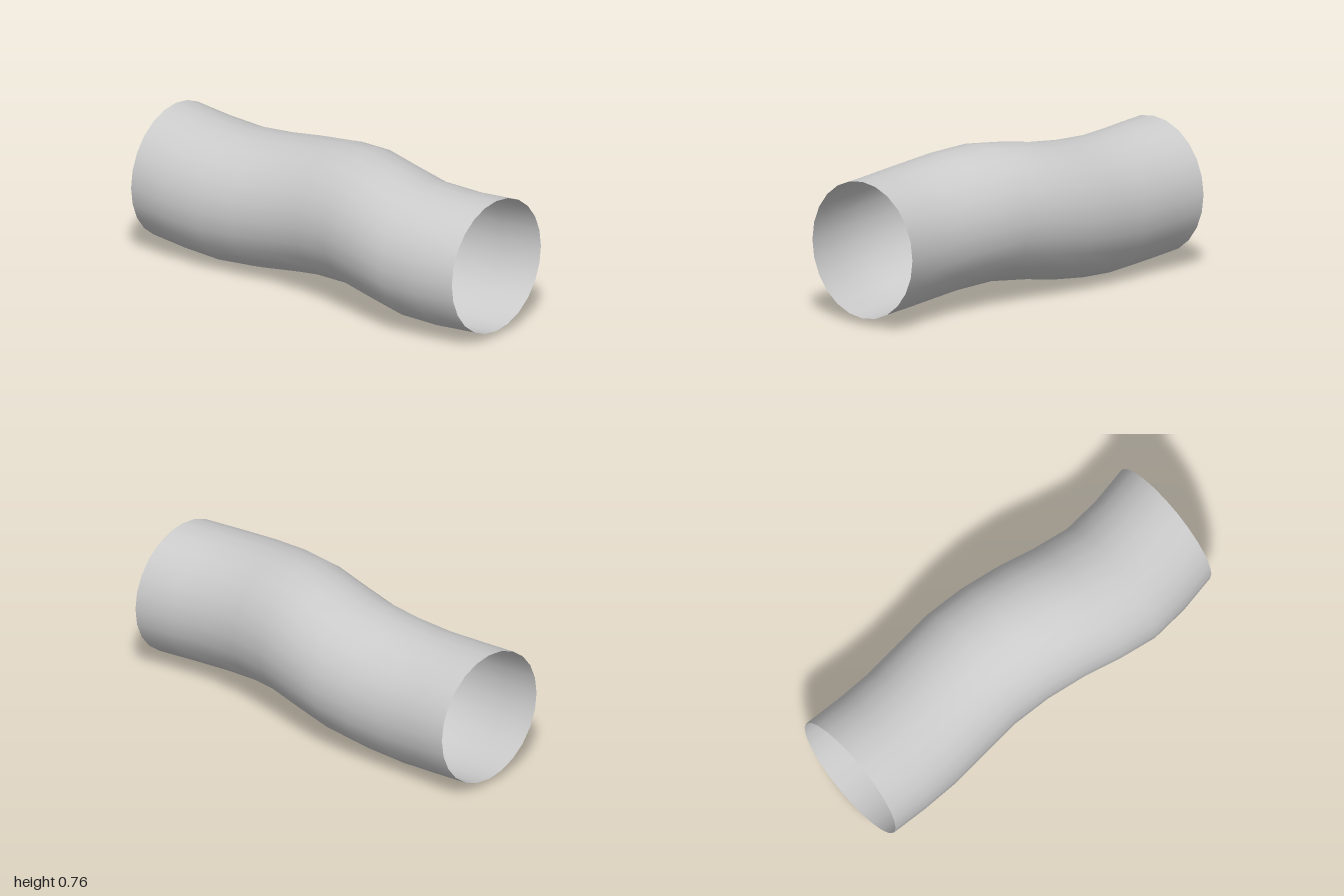
import * as THREE from 'three';
import { mergeVertices } from 'three/addons/utils/BufferGeometryUtils.js';

const RADIUS = 0.337;
// Centre of each ring, evenly spaced along x from -1 to 1
const CENTRE_Y = [0.371, 0.352, 0.34, 0.352, 0.377, 0.408, 0.426, 0.408, 0.381, 0.371, 0.371];
const CENTRE_Z = [-0.012, -0.012, -0.02, -0.039, -0.055, -0.041, -0.009, 0.029, 0.05, 0.029, -0.012];

export function createModel() {
  const group = new THREE.Group();
  const segments = CENTRE_Y.length - 1;

  // Open straight tube along x
  let geometry = new THREE.CylinderGeometry(RADIUS, RADIUS, 2, 24, segments, true);
  geometry.rotateZ(-Math.PI / 2);

  // Shift every ring sideways to its centre, keeping it upright
  const p = geometry.attributes.position;
  for (let i = 0; i < p.count; i++) {
    const ring = Math.round((p.getX(i) + 1) / 2 * segments);
    p.setY(i, p.getY(i) + CENTRE_Y[ring]);
    p.setZ(i, p.getZ(i) + CENTRE_Z[ring]);
  }

  // Weld the seam so the shading is smooth all round
  geometry.deleteAttribute('uv');
  geometry.deleteAttribute('normal');
  geometry = mergeVertices(geometry);
  geometry.computeVertexNormals();

  const tube = new THREE.Mesh(
    geometry,
    new THREE.MeshStandardMaterial({ color: 0xcccccc, side: THREE.DoubleSide })
  );
  tube.name = 'wavyTube';
  group.add(tube);
  return group;
}
